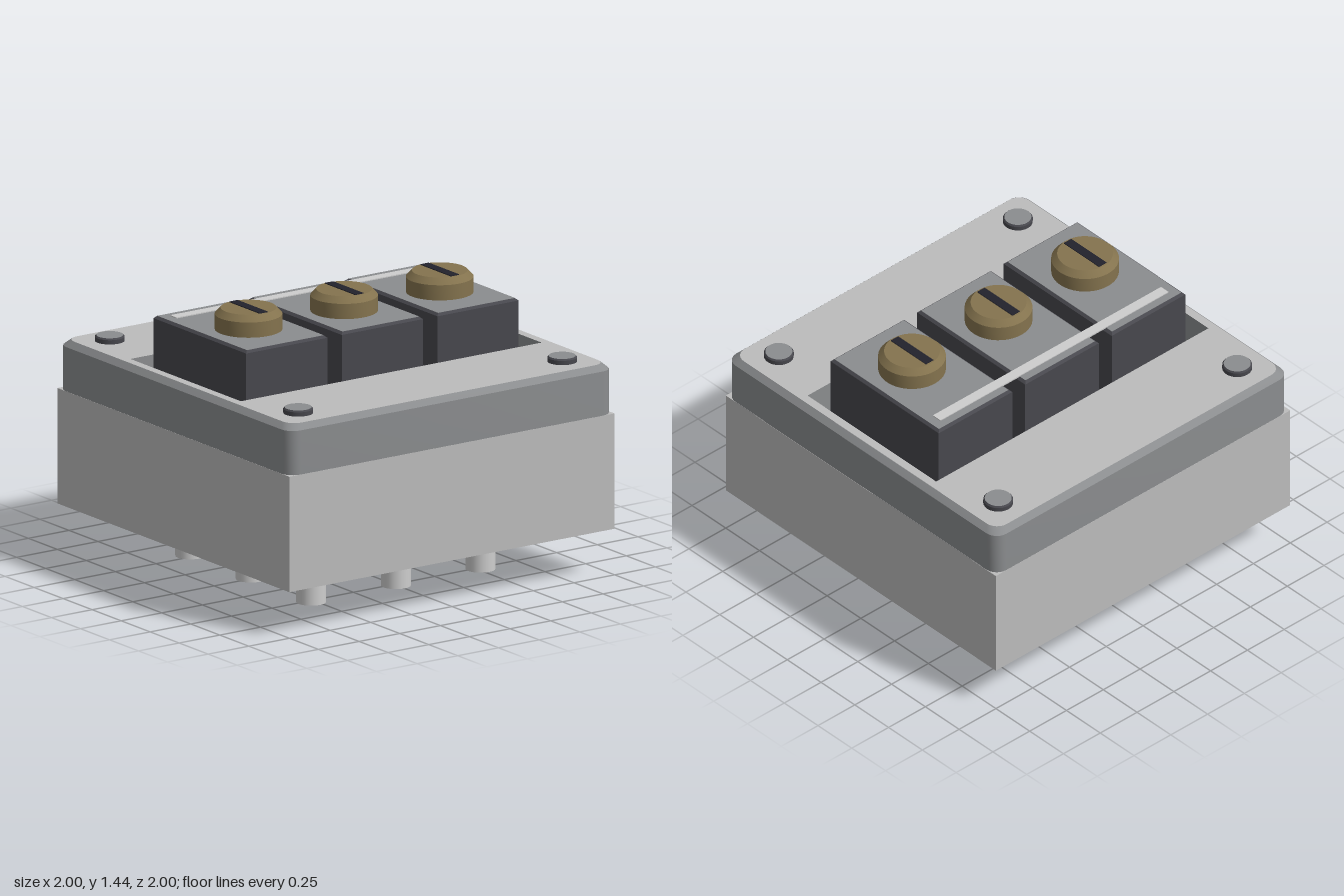
import * as THREE from 'three';
import { toCreasedNormals } from 'three/addons/utils/BufferGeometryUtils.js';

const mat = (name, color) => new THREE.MeshStandardMaterial({ name, color });

// Corner points of a rounded rectangle in the ground plane (steps = 0 gives sharp corners)
function loop(hx, hz, r, steps) {
  const pts = [];
  [[1, 1], [-1, 1], [-1, -1], [1, -1]].forEach(([sx, sz], q) => {
    for (let i = 0; i <= steps; i++) {
      const a = (q + (steps ? i / steps : 0.5)) * Math.PI / 2;
      pts.push([sx * (hx - r) + r * Math.cos(a), sz * (hz - r) + r * Math.sin(a)]);
    }
  });
  return pts;
}

// Side walls through stacked rounded rectangles [halfX, halfZ, radius, y]
function loft(rings, steps) {
  const pos = [];
  const loops = rings.map(([hx, hz, r, y]) => loop(hx, hz, r, steps).map(([x, z]) => [x, y, z]));
  for (let k = 0; k + 1 < loops.length; k++) {
    const lo = loops[k], hi = loops[k + 1], n = lo.length;
    for (let i = 0; i < n; i++) {
      const j = (i + 1) % n;
      pos.push(...lo[i], ...hi[i], ...hi[j], ...lo[i], ...hi[j], ...lo[j]);
    }
  }
  const g = new THREE.BufferGeometry();
  g.setAttribute('position', new THREE.Float32BufferAttribute(pos, 3));
  return toCreasedNormals(g, 0.5);
}

// Rounded slab with the rectangular opening for the switch units
function openSlab(half, r, y0, y1) {
  const shape = new THREE.Shape(loop(half, half, r, 6).map(([x, z]) => new THREE.Vector2(x, z)));
  shape.holes.push(new THREE.Path(loop(0.476, 0.925, 0, 0).map(([x, z]) => new THREE.Vector2(x, z))));
  const g = new THREE.ExtrudeGeometry(shape, { depth: y1 - y0, bevelEnabled: false });
  g.rotateX(-Math.PI / 2);
  g.translate(0, y0, 0);
  return toCreasedNormals(g, 0.5);
}

export function createModel() {
  const root = new THREE.Group();
  root.name = 'switchBox';

  const lightGrey = mat('light grey', 0xbcbcbc);
  const midGrey = mat('mid grey', 0x8b8d8f);
  const charcoal = mat('charcoal', 0x47474d);
  const black = mat('blue black', 0x22222c);
  const brass = mat('brass', 0x84734e);
  const silver = mat('silver', 0xcdcdcd);

  const add = (name, geo, material, x = 0, y = 0, z = 0, parent = root) => {
    const m = new THREE.Mesh(geo, material);
    m.name = name;
    m.position.set(x, y, z);
    parent.add(m);
    return m;
  };

  // Housing
  add('base', new THREE.BoxGeometry(2, 0.6, 2), lightGrey, 0, 0.54, 0);

  // Lid: walls, chamfer and pale top face around the opening
  add('lidBody', openSlab(0.999, 0.07, 0.84, 1.07), midGrey);
  add('lidChamfer', loft([[0.999, 0.999, 0.07, 1.07], [0.97, 0.97, 0.07, 1.1]], 6), midGrey);
  add('lidTop', openSlab(0.97, 0.07, 1.07, 1.1), [lightGrey, midGrey]);
  add('recessFloor', new THREE.BoxGeometry(0.95, 0.008, 1.85), black, 0, 0.846, 0);

  // Three switch units with slotted knobs
  const bodyGeo = loft([[0.4, 0.25, 0, 0.845], [0.4, 0.25, 0, 1.316], [0.386, 0.236, 0, 1.328]], 0);
  const topGeo = new THREE.BoxGeometry(0.772, 0.006, 0.472);
  const knobProfile = [[0.17, 0], [0.17, 0.08], [0.14, 0.112], [0, 0.112]];
  const knobGeo = toCreasedNormals(new THREE.LatheGeometry(
    knobProfile.map(([r, y]) => new THREE.Vector2(r, y)), 40).toNonIndexed(), 0.5);
  const slotGeo = new THREE.BoxGeometry(0.26, 0.008, 0.05);
  for (const z of [-0.588, 0, 0.588]) {
    const unit = new THREE.Group();
    unit.name = 'switchUnit';
    unit.position.z = z;
    root.add(unit);
    add('unitBody', bodyGeo, charcoal, 0, 0, 0, unit);
    add('unitTop', topGeo, midGrey, 0, 1.326, 0, unit);
    add('knob', knobGeo, brass, 0.07, 1.328, 0, unit);
    add('knobSlot', slotGeo, black, 0.07, 1.44, 0, unit);
  }

  // Strip running across all three units
  add('markerStrip', new THREE.BoxGeometry(0.055, 0.008, 1.55), silver, -0.316, 1.33, 0);

  // Corner screws
  const screwGeo = new THREE.CylinderGeometry(0.068, 0.075, 0.008, 28);
  const shankGeo = new THREE.CylinderGeometry(0.075, 0.075, 0.022, 28);
  for (const x of [-0.812, 0.812]) for (const z of [-0.812, 0.812]) {
    add('screwRim', shankGeo, charcoal, x, 1.111, z);
    add('screwFace', screwGeo, [charcoal, midGrey, midGrey], x, 1.126, z);
  }

  // Terminal pins underneath
  const pinGeo = new THREE.CylinderGeometry(0.075, 0.075, 0.25, 28);
  for (const x of [-0.525, -0.004, 0.517]) for (const z of [-0.52, 0, 0.522]) {
    add('pin', pinGeo, silver, x, 0.125, z);
  }

  return root;
}
